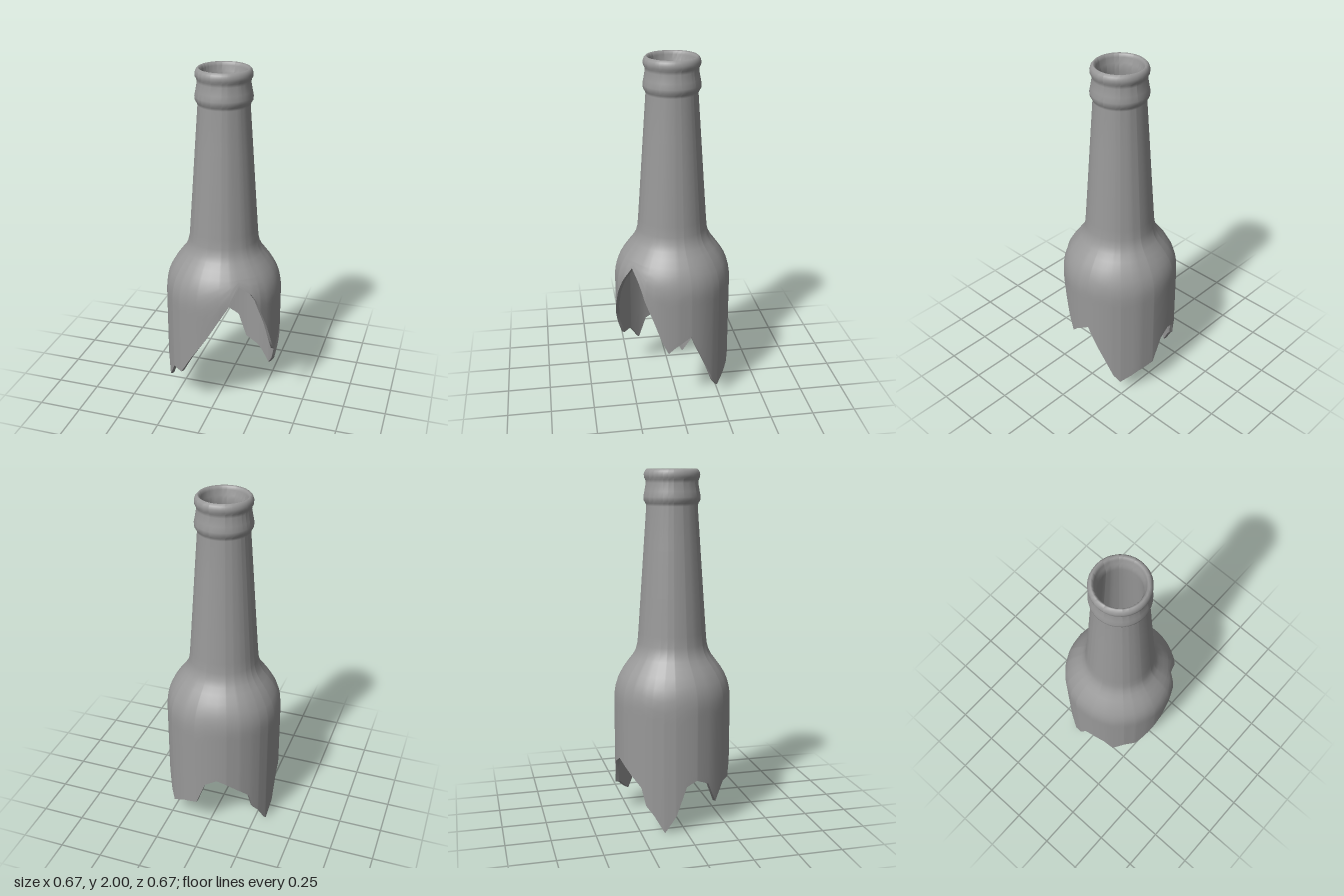
import * as THREE from 'three';

// Outer wall, bottom to top: [radius, height]
const OUTER = [
  [0.335, 0], [0.335, 0.72], [0.331, 0.76], [0.322, 0.8], [0.306, 0.84], [0.282, 0.88],
  [0.253, 0.92], [0.226, 0.955], [0.208, 0.99], [0.198, 1.03], [0.193, 1.09], [0.178, 1.3],
  [0.16, 1.56], [0.143, 1.8],
  [0.148, 1.815], [0.157, 1.83], [0.159, 1.85], [0.153, 1.88], [0.145, 1.925],
  [0.148, 1.942], [0.155, 1.955], [0.156, 1.972], [0.151, 1.988], [0.14, 2.0],
];
// Inner wall, bottom to top
const INNER = [
  [0.316, 0], [0.316, 0.72], [0.312, 0.76], [0.303, 0.8], [0.287, 0.84], [0.263, 0.88],
  [0.234, 0.92], [0.207, 0.955], [0.188, 0.99], [0.177, 1.03], [0.171, 1.09], [0.155, 1.3],
  [0.137, 1.56], [0.12, 1.8], [0.113, 1.9], [0.113, 1.935], [0.12, 1.95], [0.124, 1.98],
  [0.13, 1.995],
];
// Jagged break: [degrees from the front towards +x, height]
const BREAK = [
  [0, 0.53], [14, 0.67], [26, 0.78], [33, 0.847], [45, 0.795], [50, 0.75], [54, 0.69],
  [63, 0.575], [72, 0.44], [78, 0.37], [85, 0.41], [100, 0.47], [107, 0.38], [118, 0.25],
  [127, 0.13], [134, 0.08], [153, 0.155], [170, 0.19], [180, 0.34], [192, 0.38], [201, 0.355],
  [217, 0.29], [225, 0.25], [230, 0.15], [238, 0.1], [249, 0], [260, 0.1], [270, 0.27],
  [280, 0.3], [293, 0.27], [303, 0.15], [316, 0.25], [329, 0.25], [343, 0.38],
  [351, 0.45], [360, 0.53],
];
const SHOULDER = 0.88; // above every notch of the break
const BODY_ROWS = 14;

// Piecewise linear lookup of column `out` by column `key`
function lookup(table, key, out, v) {
  let i = 1;
  while (i < table.length - 1 && table[i][key] < v) i++;
  const a = table[i - 1], b = table[i];
  const t = THREE.MathUtils.clamp((v - a[key]) / (b[key] - a[key]), 0, 1);
  return THREE.MathUtils.lerp(a[out], b[out], t);
}

// Columns: 32 regular sides plus every corner of the break
const angles = BREAK.slice(0, -1).map((p) => p[0]);
for (let i = 0; i < 32; i++) {
  const a = i * 11.25;
  if (!angles.some((b) => Math.abs(a - b) < 0.8)) angles.push(a);
}
angles.sort((a, b) => a - b);

// One column of a wall, from the break up to the lip
function wallColumn(profile, deg) {
  const bottom = lookup(BREAK, 0, 1, deg);
  const column = [];
  for (let i = 0; i < BODY_ROWS; i++) {
    const y = THREE.MathUtils.lerp(bottom, SHOULDER, i / BODY_ROWS);
    column.push([lookup(profile, 1, 0, y), y]);
  }
  return column.concat(profile.filter((p) => p[1] >= SHOULDER));
}

// Skin closed around the axis; each column lists [radius, height]
function ringSurface(columnAt) {
  const positions = [], index = [];
  let rows = 0;
  angles.forEach((deg) => {
    const a = THREE.MathUtils.degToRad(deg);
    const column = columnAt(deg);
    rows = column.length;
    column.forEach(([r, y]) => positions.push(r * Math.sin(a), y, r * Math.cos(a)));
  });
  const n = angles.length;
  for (let i = 0; i < n; i++) {
    for (let j = 0; j < rows - 1; j++) {
      const a = i * rows + j, b = ((i + 1) % n) * rows + j;
      index.push(a, b, b + 1, a, b + 1, a + 1);
    }
  }
  const geometry = new THREE.BufferGeometry();
  geometry.setAttribute('position', new THREE.Float32BufferAttribute(positions, 3));
  geometry.setIndex(index);
  geometry.computeVertexNormals();
  return geometry;
}

export function createModel() {
  const group = new THREE.Group();
  group.name = 'brokenBottle';
  const material = new THREE.MeshStandardMaterial({ color: 0x999999 });
  const add = (name, geometry) => {
    const mesh = new THREE.Mesh(geometry, material);
    mesh.name = name;
    group.add(mesh);
  };

  // Outside, over the rounded lip and down the inside
  add('bottleWall', ringSurface((deg) =>
    wallColumn(OUTER, deg).concat(wallColumn(INNER, deg).reverse())));

  // Thickness of the glass along the break
  add('brokenEdge', ringSurface((deg) =>
    [wallColumn(INNER, deg)[0], wallColumn(OUTER, deg)[0]]));

  return group;
}
